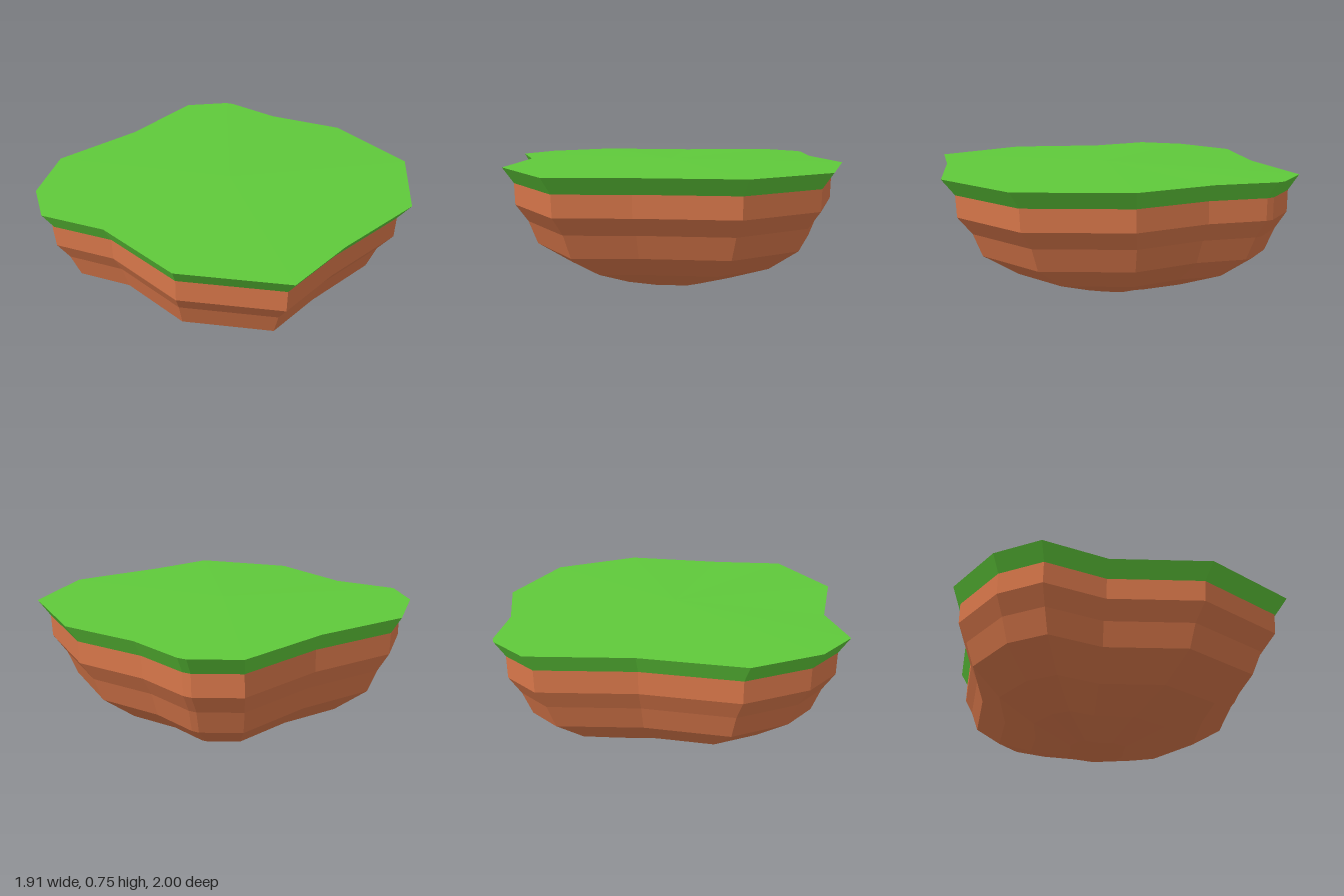
import * as THREE from 'three';

// Irregular island outline as [x, z], running from the back edge round by +x
const outline = [
  [0.02, -1.0], [0.61, -0.885], [0.94, -0.45], [0.925, 0.13], [0.955, 0.555],
  [0.47, 0.885], [-0.08, 0.86], [-0.43, 0.997], [-0.68, 0.86], [-0.915, 0.52],
  [-0.885, -0.04], [-0.96, -0.59], [-0.795, -0.80], [-0.75, -0.82], [-0.41, -0.85],
];

// One horizontal ring: the outline scaled and shifted at height y
const ring = ({ y, s, dx = 0, dz = 0 }) => outline.map(([x, z]) => [x * s + dx, y, z * s + dz]);

// Join rings listed from top to bottom; optional centre points close the ends
function loft(levels, { top, bottom }) {
  const rings = levels.map(ring);
  const n = outline.length;
  const pos = [];
  const tri = (a, b, c) => pos.push(...a, ...b, ...c);
  for (let i = 0; i < n; i++) {
    const j = (i + 1) % n;
    for (let k = 0; k < rings.length - 1; k++) {
      const a = rings[k], b = rings[k + 1];
      tri(a[i], a[j], b[j]);
      tri(a[i], b[j], b[i]);
    }
    if (top) tri(top, rings[0][j], rings[0][i]);
    if (bottom) {
      const last = rings[rings.length - 1];
      tri(bottom, last[i], last[j]);
    }
  }
  const geo = new THREE.BufferGeometry();
  geo.setAttribute('position', new THREE.Float32BufferAttribute(pos, 3));
  geo.computeVertexNormals();
  return geo;
}

function part(name, geo, color) {
  const mesh = new THREE.Mesh(geo, new THREE.MeshStandardMaterial({ color, flatShading: true }));
  mesh.name = name;
  return mesh;
}

export function createModel() {
  const group = new THREE.Group();
  group.name = 'floatingIsland';
  const seam = { y: 0.65, s: 0.94, dx: -0.012 };

  // Grass slab: slightly domed top with an overhanging, tapered rim
  group.add(part('grassTop', loft([{ y: 0.74, s: 1 }, seam], { top: [0, 0.754, 0] }), 0x5fc93a));

  // Earth: stepped bowl narrowing to a small off-centre base
  group.add(part('earthBase', loft([
    seam,
    { y: 0.53, s: 0.937, dx: -0.015 },
    { y: 0.43, s: 0.87, dx: -0.03 },
    { y: 0.30, s: 0.82, dx: -0.033 },
    { y: 0.17, s: 0.637, dx: -0.055, dz: -0.01 },
    { y: 0.07, s: 0.395, dx: -0.085, dz: 0 },
    { y: 0, s: 0.168, dx: -0.08, dz: -0.025 },
  ], { bottom: [-0.08, 0.015, -0.025] }), 0xd8774a));

  return group;
}
